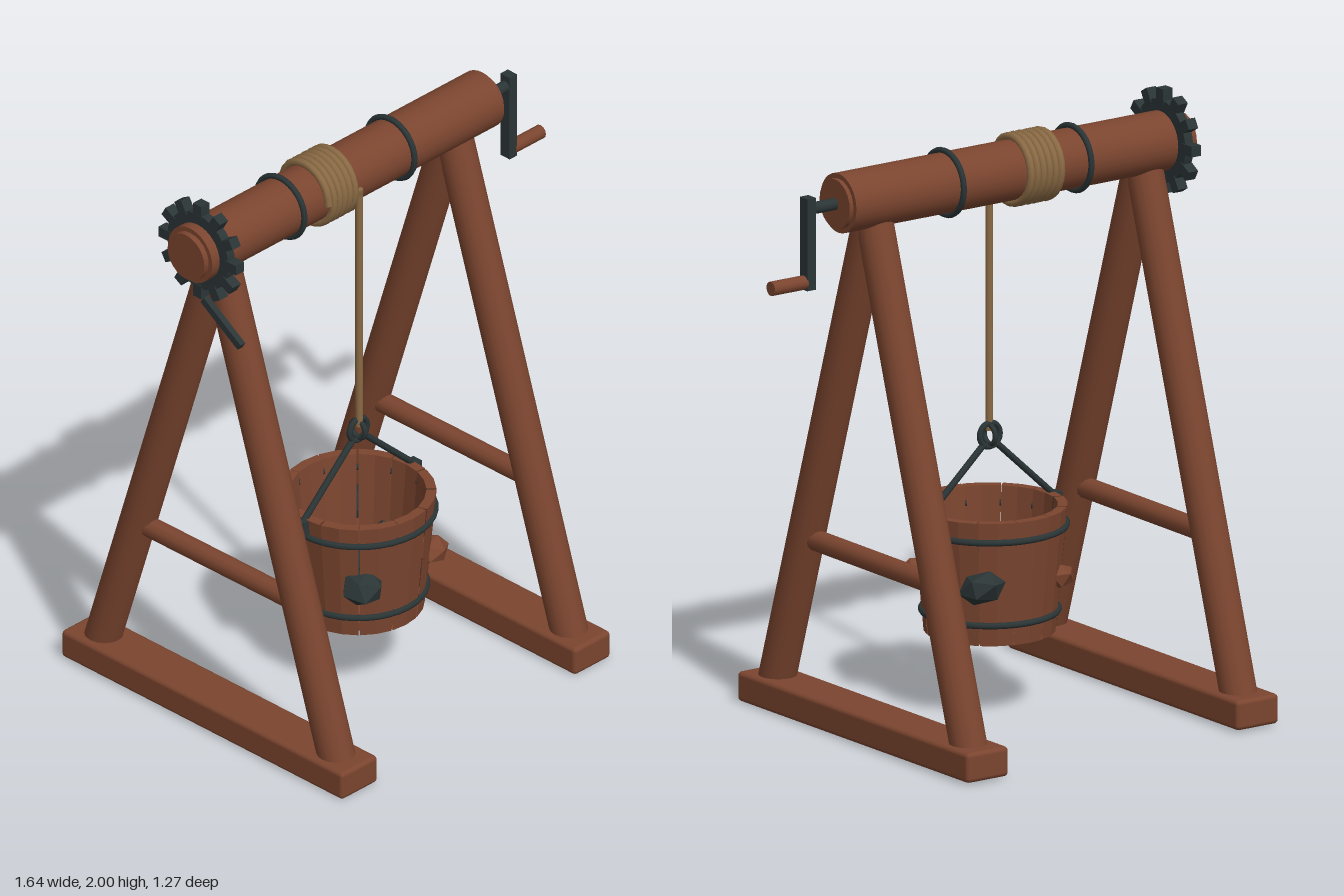
import * as THREE from 'three';
import { RoundedBoxGeometry } from 'three/addons/geometries/RoundedBoxGeometry.js';

const V = (x, y, z) => new THREE.Vector3(x, y, z);

export function createModel() {
  const root = new THREE.Group();
  root.name = 'windlassHoist';
  const mat = (name, color, side = THREE.FrontSide) => {
    const m = new THREE.MeshStandardMaterial({ color, side });
    m.name = name;
    return m;
  };
  const wood = mat('wood', 0x7b452f, THREE.DoubleSide);
  const iron = mat('iron', 0x2b3536);
  const rope = mat('rope', 0x8a6a44);
  const tanStone = mat('tanStone', 0x8b6340);

  const add = (name, geo, material, x = 0, y = 0, z = 0, parent = root) => {
    const mesh = new THREE.Mesh(geo, material);
    mesh.name = name;
    mesh.position.set(x, y, z);
    parent.add(mesh);
    return mesh;
  };
  // Round bar from a to b
  const bar = (name, a, b, r, material, sides = 16, parent = root) => {
    const mid = a.clone().add(b).multiplyScalar(0.5);
    const geo = new THREE.CylinderGeometry(r, r, a.distanceTo(b), sides);
    const m = add(name, geo, material, mid.x, mid.y, mid.z, parent);
    m.quaternion.setFromUnitVectors(V(0, 1, 0), b.clone().sub(a).normalize());
    return m;
  };
  const hoopX = (name, R, t, x, y, z, parent = root) => {
    add(name, new THREE.TorusGeometry(R, t, 8, 32), iron, x, y, z, parent).rotation.y = Math.PI / 2;
  };

  // A-frame at each end: foot beam, two leaning legs, cross bar
  for (const x of [-0.665, 0.412]) {
    const frame = new THREE.Group();
    frame.name = 'sideFrame';
    root.add(frame);
    add('footBeam', new RoundedBoxGeometry(0.168, 0.1, 1.27, 2, 0.015), wood, x, 0.058, 0, frame).rotation.x = 0.005;
    for (const s of [-1, 1]) bar('leg', V(x, 0.07, s * 0.535), V(x, 1.77, 0), 0.062, wood, 16, frame);
    bar('crossBar', V(x, 0.602, -0.36), V(x, 0.602, 0.36), 0.035, wood, 12, frame);
  }

  // Drum with end discs and iron bands
  const axisY = 1.825;
  bar('drum', V(-0.8, axisY, 0), V(0.55, axisY, 0), 0.099, wood, 32);
  bar('drumEndDiscs', V(-0.82, axisY, 0), V(0.565, axisY, 0), 0.083, wood, 24);
  for (const x of [-0.382, 0.127]) hoopX('drumBand', 0.107, 0.01, x, axisY, 0);

  // Ratchet wheel and pawl
  const ratchet = new THREE.Group();
  ratchet.name = 'ratchetWheel';
  ratchet.position.set(-0.75, axisY, 0);
  root.add(ratchet);
  bar('wheelDisc', V(-0.016, 0, 0), V(0.016, 0, 0), 0.138, iron, 24, ratchet);
  for (let i = 0; i < 12; i++) {
    const a = i * Math.PI / 6;
    const r = 0.15;
    add('tooth', new THREE.BoxGeometry(0.038, 0.05, 0.036), iron, 0, r * Math.cos(a), r * Math.sin(a), ratchet).rotation.x = a;
  }
  add('pawl', new THREE.BoxGeometry(0.022, 0.026, 0.2), iron, -0.752, 1.59, 0.1).rotation.x = 0.58;

  // Crank
  bar('crankAxle', V(0.54, axisY, 0), V(0.68, axisY, 0), 0.02, iron, 12);
  add('crankArm', new THREE.BoxGeometry(0.034, 0.308, 0.042), iron, 0.672, 1.711, 0);
  bar('crankGrip', V(0.685, 1.582, 0), V(0.82, 1.582, 0), 0.024, wood, 12);

  // Wound rope and hanging rope
  const bx = -0.128, bz = 0.102;
  const turns = 6, pts = [];
  for (let i = 0; i <= turns * 16; i++) {
    const a = i * Math.PI / 8;
    pts.push(V(-0.272 + 0.144 * i / (turns * 16), axisY + 0.109 * Math.sin(a), 0.109 * Math.cos(a)));
  }
  add('ropeCoil', new THREE.TubeGeometry(new THREE.CatmullRomCurve3(pts), turns * 24, 0.0135, 8), rope);
  bar('hangingRope', V(bx, 0.93, 0.106), V(bx, axisY, 0.106), 0.013, rope, 10);

  // Bucket
  const bucket = new THREE.Group();
  bucket.name = 'bucket';
  bucket.position.set(bx, 0, bz);
  root.add(bucket);
  const profile = [[0.215, 0.265], [0.253, 0.685], [0.22, 0.685], [0.184, 0.265], [0.215, 0.265]]
    .map(p => new THREE.Vector2(...p));
  const step = Math.PI / 6, gap = 0.025;
  for (let i = 0; i < 12; i++) {
    const geo = new THREE.LatheGeometry(profile, 2, (i - 0.5) * step + gap / 2, step - gap).toNonIndexed();
    geo.computeVertexNormals();
    add('stave', geo, wood, 0, 0, 0, bucket);
  }
  add('bucketFloor', new THREE.CylinderGeometry(0.197, 0.195, 0.03, 24), wood, 0, 0.285, 0, bucket);
  for (const [y, R] of [[0.62, 0.249], [0.335, 0.222]]) {
    add('bucketHoop', new THREE.TorusGeometry(R, 0.011, 8, 36), iron, 0, y, 0, bucket).rotation.x = Math.PI / 2;
  }

  // Bail, brackets and linked rings
  for (const s of [-1, 1]) {
    bar('bailRod', V(s * 0.025, 0.885, 0), V(s * 0.258, 0.672, 0), 0.011, iron, 8, bucket);
    add('bailBracket', new THREE.BoxGeometry(0.034, 0.052, 0.04), iron, s * 0.258, 0.658, 0, bucket);
  }
  add('ropeRing', new THREE.TorusGeometry(0.04, 0.01, 8, 24), iron, 0, 0.915, 0, bucket);
  hoopX('bailRing', 0.031, 0.009, 0, 0.915, 0, bucket);

  // Faceted stones in and around the bucket: material, position, radius, turn
  const stones = [
    [iron, -0.285, 0.462, 0.275, 0.078, 0.4],
    [iron, 0.05, 0.475, -0.1, 0.078, 2.1],
    [wood, -0.285, 0.45, -0.055, 0.062, 1.2],
    [wood, 0.045, 0.455, 0.265, 0.06, 0.2],
    [iron, -0.19, 0.46, 0.13, 0.07, 0.9],
    [iron, 0.02, 0.45, 0.09, 0.055, 1.7],
    [tanStone, -0.045, 0.49, 0.165, 0.072, 0.6],
    [tanStone, -0.255, 0.42, 0.17, 0.045, 2.6],
  ];
  for (const [m, x, y, z, r, turn] of stones) {
    const stone = add('stone', new THREE.IcosahedronGeometry(r, 0), m, x, y, z);
    stone.scale.set(1.05, 0.72, 0.95);
    stone.rotation.set(0.2, turn, 0.15);
  }
  return root;
}
